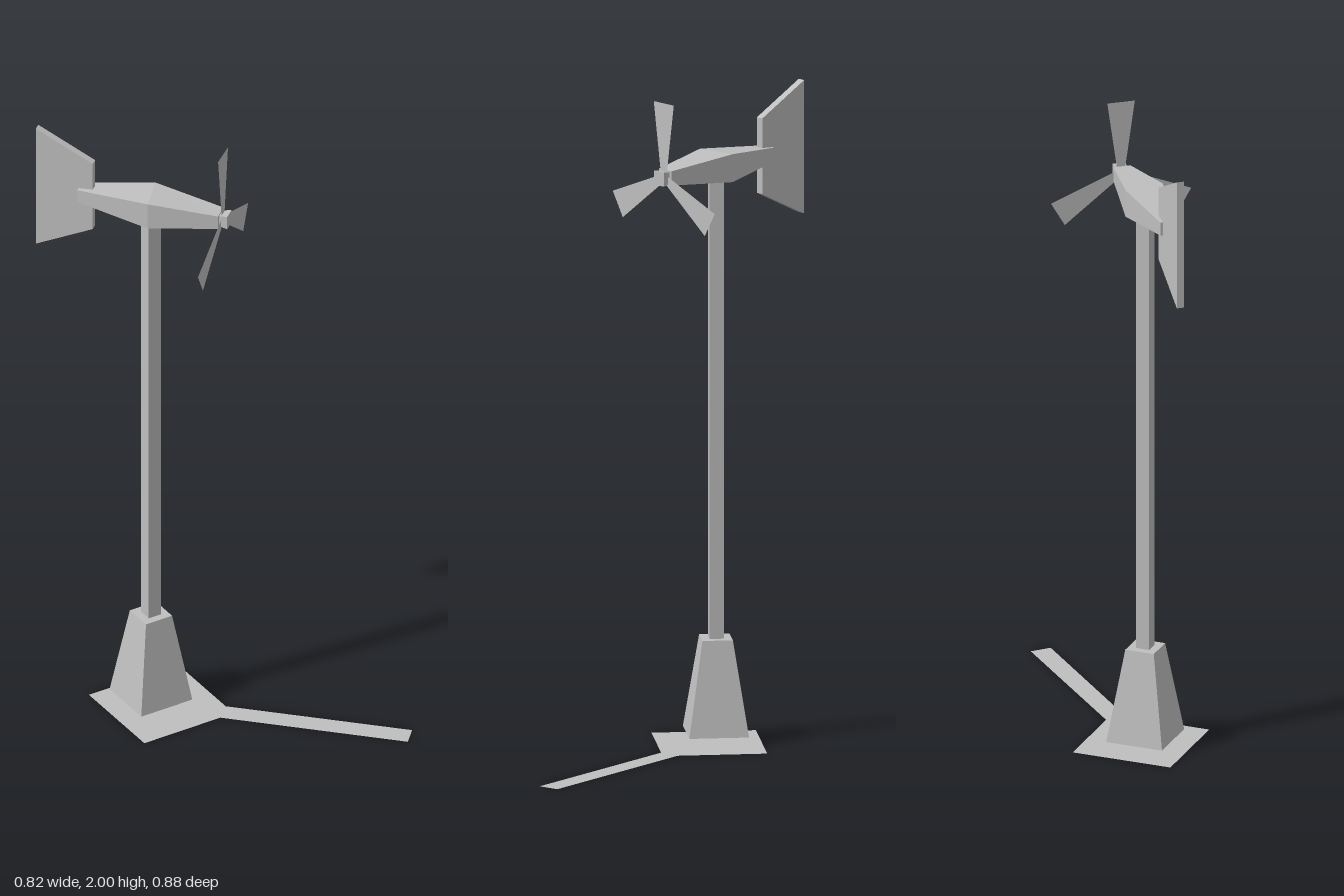
import * as THREE from 'three';

// Square-section solid along +z; sections are [z, halfWidth, halfHeight, skew]
function loft(sections) {
  const rings = sections.map(([z, w, h, skew = 0]) =>
    [[-1, -1], [1, -1], [1, 1], [-1, 1]].map(([a, b]) => [a * w, b * h, z - a * skew]));
  const pos = [];
  const quad = (a, b, c, d) => pos.push(...a, ...b, ...c, ...a, ...c, ...d);
  for (let s = 0; s < rings.length - 1; s++) {
    for (let i = 0; i < 4; i++) {
      const j = (i + 1) % 4;
      quad(rings[s][i], rings[s][j], rings[s + 1][j], rings[s + 1][i]);
    }
  }
  quad(...[...rings[0]].reverse());
  quad(...rings[rings.length - 1]);
  const geo = new THREE.BufferGeometry();
  geo.setAttribute('position', new THREE.Float32BufferAttribute(pos, 3));
  geo.computeVertexNormals();
  return geo;
}

const outline = (points) => new THREE.Shape(points.map(([x, y]) => new THREE.Vector2(x, y)));

export function createModel() {
  const model = new THREE.Group();
  model.name = 'windPump';
  const grey = new THREE.MeshStandardMaterial({ color: 0xbfbfbf, side: THREE.DoubleSide, flatShading: true });
  grey.name = 'pale grey';

  const add = (parent, name, geo) => {
    const mesh = new THREE.Mesh(geo, grey);
    mesh.name = name;
    parent.add(mesh);
    return mesh;
  };

  // Flat ground slab and diagonal path, given as x, z outlines
  const flat = (points) =>
    new THREE.ShapeGeometry(outline(points.map(([x, z]) => [x, -z]))).rotateX(-Math.PI / 2);
  add(model, 'groundSlab', flat([[-0.31, 0.025], [0.005, 0.025], [0.005, -0.29], [-0.31, -0.29]]));
  add(model, 'path', flat([[-0.042, 0.025], [0.365, 0.435], [0.41, 0.387], [0.005, -0.02], [0.005, 0.025]]));

  // Tapered foot and square pole
  const px = -0.175, pz = -0.155;
  add(model, 'foot', loft([[0.03, 0.09, 0.09], [0.32, 0.046, 0.046]]).rotateX(-Math.PI / 2))
    .position.set(px, 0, pz);
  add(model, 'pole', new THREE.BoxGeometry(0.043, 1.44, 0.043)).position.set(px, 1.04, pz);

  // Turning head, facing local +z
  const head = new THREE.Group();
  head.name = 'head';
  head.position.set(px + 0.003, 1.772, pz - 0.001);
  head.rotation.y = THREE.MathUtils.degToRad(39.5);
  model.add(head);

  add(head, 'housing', loft([[-0.228, 0.022, 0.021], [0, 0.061, 0.043, 0.0077], [0.219, 0.0265, 0.022]]));
  add(head, 'hub', loft([[0.215, 0.016, 0.017], [0.246, 0.0205, 0.022]]));

  // Tail fin, drawn along its length and turned into the head's axis
  const fin = new THREE.ExtrudeGeometry(
    outline([[0.183, -0.116], [0.363, -0.205], [0.363, 0.205], [0.183, 0.116]]),
    { depth: 0.023, bevelEnabled: false });
  add(head, 'tailFin', fin.translate(0, 0, -0.0095).rotateY(Math.PI / 2));

  // Three flat blades
  const blade = new THREE.ShapeGeometry(
    outline([[-0.013, 0.015], [0.013, 0.015], [0.043, 0.228], [-0.043, 0.228]]));
  const rotor = new THREE.Group();
  rotor.name = 'rotor';
  rotor.position.z = 0.226;
  rotor.rotation.y = -0.025;
  head.add(rotor);
  for (let i = 0; i < 3; i++) {
    add(rotor, 'blade', blade).rotation.z = (i * Math.PI * 2) / 3;
  }
  return model;
}
